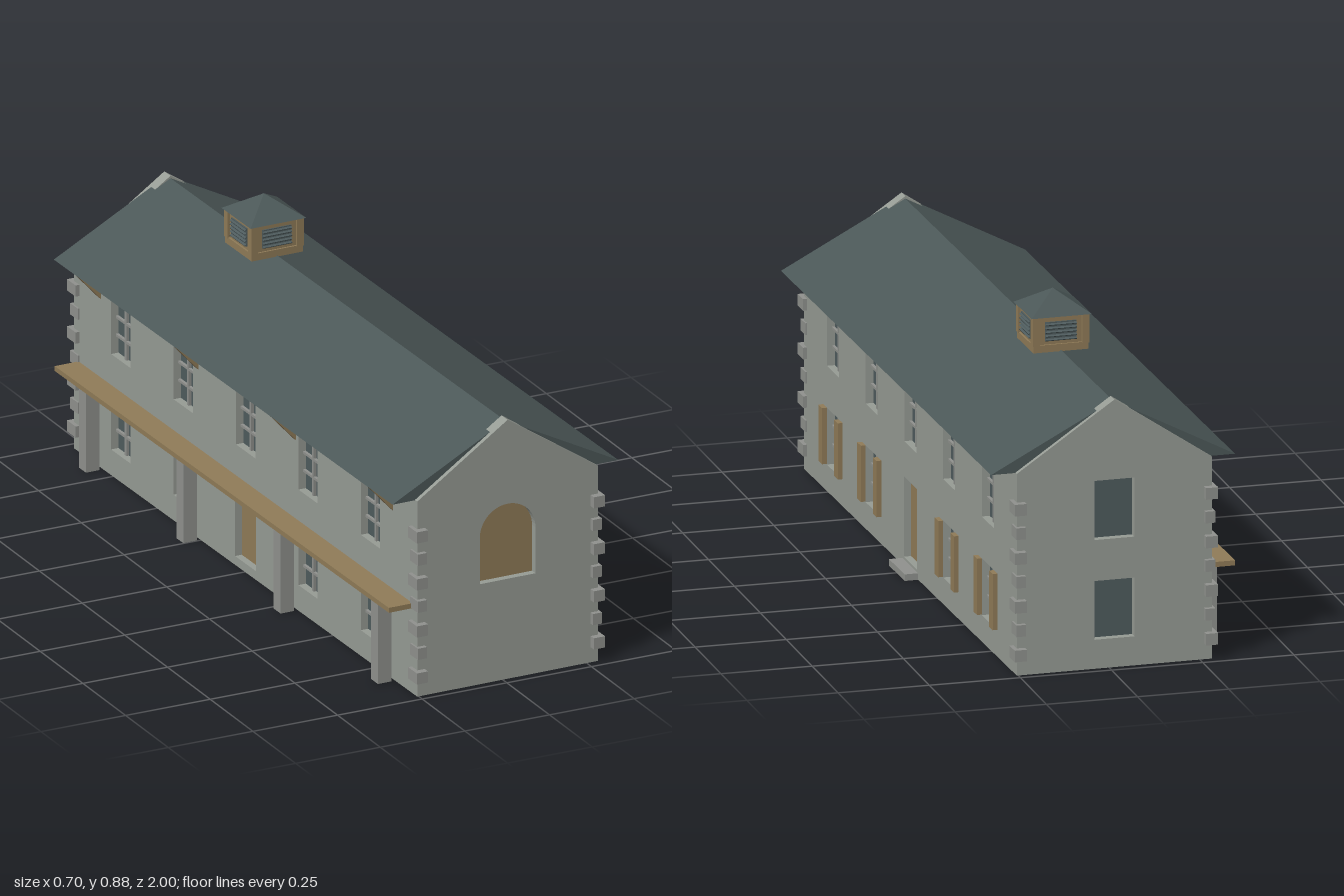
import * as THREE from 'three';

const mat = (name, color) => {
  const m = new THREE.MeshStandardMaterial({ color });
  m.name = name;
  return m;
};

export function createModel() {
  const stone = mat('wall stone', 0x979c95);
  const trim = mat('trim stone', 0x90928e);
  const slate = mat('roof slate', 0x4c5858);
  const wood = mat('tan wood', 0x917c58);
  const glass = mat('window glass', 0x4f5c5e);

  const HW = 0.269, HL = 0.976, EAVE = 0.556, T = 0.035;
  const house = new THREE.Group();
  house.name = 'house';

  const add = (parent, name, geo, m, x = 0, y = 0, z = 0) => {
    const mesh = new THREE.Mesh(geo, m);
    mesh.name = name;
    mesh.position.set(x, y, z);
    parent.add(mesh);
    return mesh;
  };
  const box = (parent, name, m, w, h, d, x, y, z) =>
    add(parent, name, new THREE.BoxGeometry(w, h, d), m, x, y, z);
  const polygon = pts => new THREE.Shape(pts.map(p => new THREE.Vector2(...p)));
  const extrude = (shape, depth) =>
    new THREE.ExtrudeGeometry(shape, { depth, bevelEnabled: false, curveSegments: 14 });
  const rect = (x, y0, y1, w) => polygon([
    [x - w / 2, y0], [x + w / 2, y0], [x + w / 2, y1], [x - w / 2, y1]]);

  // A wall facing its own +z, with openings cut through it
  const wall = (name, shape, openings, x, z, turn) => {
    const g = new THREE.Group();
    g.name = name;
    g.position.set(x, 0, z);
    g.rotation.y = turn;
    house.add(g);
    shape.holes = openings;
    add(g, name + 'Panel', extrude(shape, T), stone, 0, 0, -T);
    return g;
  };

  // Recessed pane with glazing bars, two columns by three rows
  const windowPane = (g, x, y0, y1, w, bars) => {
    const h = y1 - y0, cy = (y0 + y1) / 2;
    box(g, 'windowGlass', glass, w, h, 0.008, x, cy, -0.026);
    if (!bars) return;
    box(g, 'glazingBar', trim, 0.009, h, 0.008, x, cy, -0.018);
    for (const f of [1 / 3, 2 / 3])
      box(g, 'glazingBar', trim, w, 0.007, 0.008, x, y0 + h * f, -0.018);
  };

  // Long side walls: five bays, door in the middle
  const bays = [-0.71, -0.355, 0, 0.355, 0.71];
  for (const s of [1, -1]) {
    const openings = [];
    for (const b of bays) {
      openings.push(rect(b, 0.345, 0.5, 0.11));
      openings.push(b ? rect(b, 0.073, 0.23, 0.11) : rect(0, 0.025, 0.247, 0.12));
    }
    const shape = rect(0, 0, EAVE, 2 * (HL - T));
    const g = wall(s > 0 ? 'rightWindowWall' : 'porchWall', shape, openings, s * HW, 0, s * Math.PI / 2);
    for (const b of bays) {
      windowPane(g, b, 0.345, 0.5, 0.11, true);
      if (!b) {
        box(g, 'door', wood, 0.12, 0.222, 0.01, 0, 0.136, -0.025);
        continue;
      }
      windowPane(g, b, 0.073, 0.23, 0.11, true);
      if (s > 0) for (const k of [-1, 1])
        box(g, 'shutter', wood, 0.034, 0.155, 0.013, b + k * 0.072, 0.152, 0.0065);
    }
  }
  box(house, 'doorStep', trim, 0.038, 0.018, 0.145, HW + 0.018, 0.009, 0);
  box(house, 'floor', stone, 2 * (HW - T), 0.01, 2 * (HL - T), 0, 0.005, 0);

  // Gable ends, the peak standing slightly proud of the roof
  const gable = () => polygon([[-HW, 0], [HW, 0], [HW, EAVE], [0, 0.738], [-HW, EAVE]]);
  const archShape = () => {
    const a = new THREE.Shape();
    a.moveTo(-0.083, 0.285);
    a.lineTo(0.083, 0.285);
    a.lineTo(0.083, 0.416);
    a.absarc(0, 0.416, 0.083, 0, Math.PI, false);
    a.closePath();
    return a;
  };
  const front = wall('frontGable', gable(), [archShape()], 0, HL, 0);
  add(front, 'archedPanel', extrude(archShape(), 0.01), wood, 0, 0, -0.03);
  const rearRows = [[0.08, 0.242], [0.355, 0.518]];
  const back = wall('backGable', gable(), rearRows.map(([a, b]) => rect(0, a, b, 0.11)), 0, -HL, Math.PI);
  rearRows.forEach(([a, b]) => windowPane(back, 0, a, b, 0.11, false));

  // Corner stones, alternating long and short
  for (const sx of [-1, 1]) for (const sz of [-1, 1]) for (let i = 0; i < 7; i++) {
    const e = i % 2 ? 0.006 : 0;
    box(house, 'cornerStone', trim, 0.033 - e, 0.032, 0.05 - e,
      sx * (0.2635 - e / 2), 0.059 + i * 0.067, sz * (0.97 - e / 2));
  }

  // Roof prism
  const roof = polygon([[-0.336, 0.555], [0.336, 0.555], [0, 0.731]]);
  add(house, 'roof', extrude(roof, 1.926), slate, 0, 0, -0.963);

  // Porch along the left wall, with eave braces above the posts
  box(house, 'porchCanopy', wood, 0.073, 0.014, 1.9, -0.3035, 0.25, 0);
  for (let i = 0; i < 4; i++) {
    const z = -0.83 + i * 0.5533;
    box(house, 'porchPost', trim, 0.04, 0.243, 0.04, -0.3, 0.1215, z);
    const brace = polygon([[-0.336, 0.555], [-0.318, 0.555], [-0.255, 0.485], [-0.255, 0.465]]);
    add(house, 'eaveBrace', extrude(brace, 0.018), wood, 0, 0, z - 0.009);
  }

  // Louvred cupola on the ridge
  const cupola = new THREE.Group();
  cupola.name = 'cupola';
  cupola.position.z = -0.41;
  house.add(cupola);
  box(cupola, 'cupolaBase', wood, 0.152, 0.02, 0.152, 0, 0.738, 0);
  box(cupola, 'cupolaBody', wood, 0.142, 0.08, 0.142, 0, 0.786, 0);
  for (const sx of [-1, 1]) for (const sz of [-1, 1])
    box(cupola, 'cupolaCorner', wood, 0.02, 0.08, 0.02, sx * 0.068, 0.786, sz * 0.068);
  for (let k = 0; k < 4; k++) {
    const side = new THREE.Group();
    side.name = 'louvreVent';
    side.rotation.y = k * Math.PI / 2;
    cupola.add(side);
    box(side, 'ventPanel', glass, 0.086, 0.052, 0.004, 0, 0.784, 0.073);
    for (let i = 0; i < 5; i++)
      box(side, 'louvreSlat', glass, 0.086, 0.003, 0.01, 0, 0.763 + i * 0.0105, 0.075).rotation.x = 0.6;
  }
  const cap = new THREE.ConeGeometry(0.083 * Math.SQRT2, 0.056, 4);
  cap.rotateY(Math.PI / 4);
  const capGeo = cap.toNonIndexed();
  capGeo.computeVertexNormals();
  add(cupola, 'cupolaRoof', capGeo, slate, 0, 0.853, 0);

  // The house stands turned by a slight angle
  house.rotation.y = 0.015;
  const model = new THREE.Group();
  model.name = 'model';
  model.add(house);
  return model;
}
